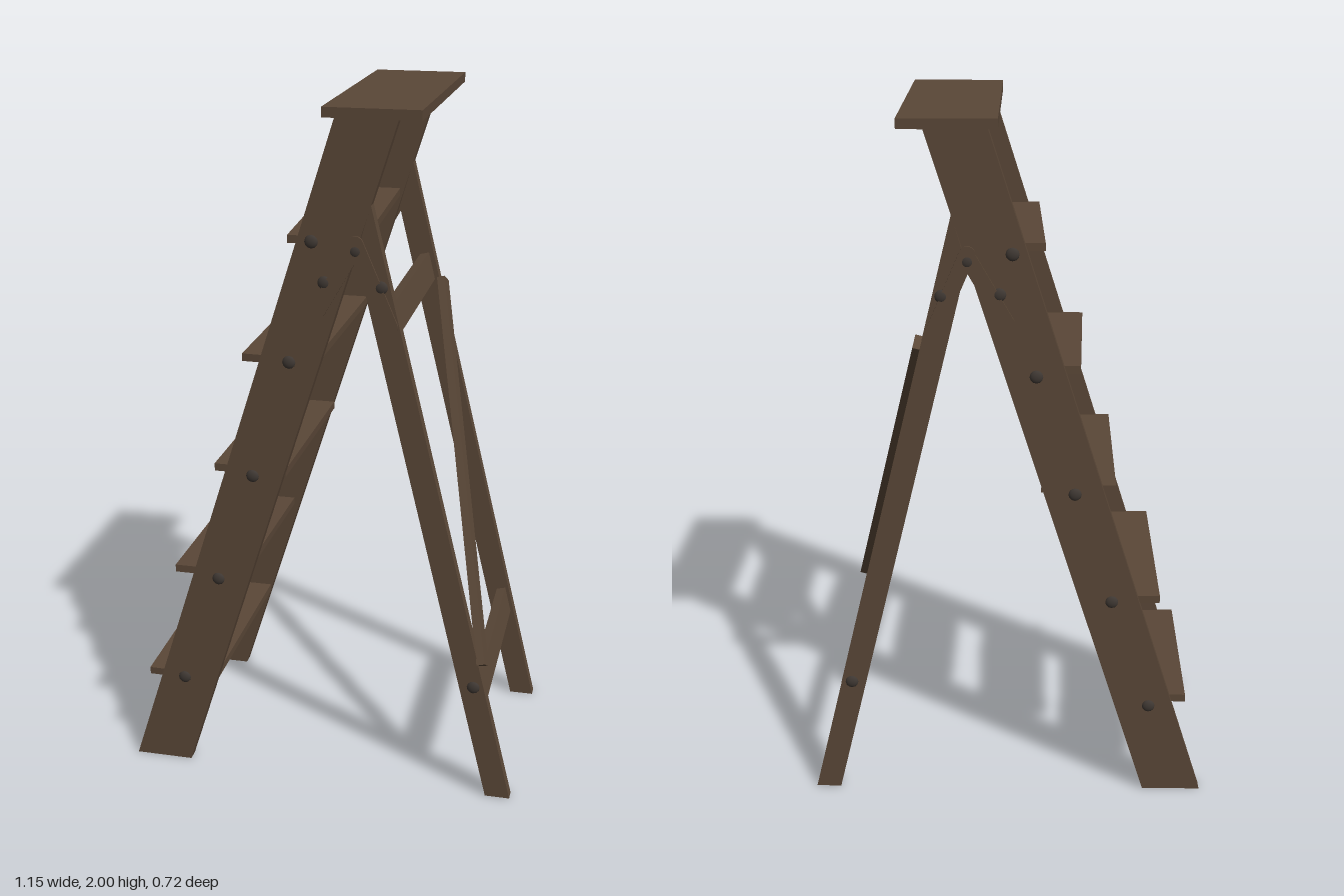
import * as THREE from 'three';

export function createModel() {
  const wood = new THREE.MeshStandardMaterial({ color: 0x5a4737 });
  wood.name = 'darkWood';
  const iron = new THREE.MeshStandardMaterial({ color: 0x3f3833 });
  iron.name = 'darkIron';
  const model = new THREE.Group();
  model.name = 'stepladder';

  const add = (name, geometry, material, x = 0, y = 0, z = 0) => {
    const mesh = new THREE.Mesh(geometry, material);
    mesh.name = name;
    mesh.position.set(x, y, z);
    model.add(mesh);
    return mesh;
  };

  // Side outline in x/y, extruded along z and centred on z
  const slab = (name, points, depth, z, material = wood) => {
    const shape = new THREE.Shape(points.map(([x, y]) => new THREE.Vector2(x, y)));
    const geometry = new THREE.ExtrudeGeometry(shape, { depth, bevelEnabled: false });
    return add(name, geometry.translate(0, 0, -depth / 2), material, 0, 0, z);
  };

  // Thin round-ended strap between two points in x/y
  const strap = (name, [ax, ay], [bx, by], radius, z) => {
    const a = Math.atan2(by - ay, bx - ax);
    const shape = new THREE.Shape();
    shape.absarc(bx, by, radius, a - Math.PI / 2, a + Math.PI / 2, false);
    shape.absarc(ax, ay, radius, a + Math.PI / 2, a + Math.PI * 1.5, false);
    const geometry = new THREE.ExtrudeGeometry(shape, { depth: 0.006, bevelEnabled: false, curveSegments: 8 });
    add(name, geometry.translate(0, 0, -0.003), wood, 0, 0, z);
  };

  // Top board
  add('topBoard', new THREE.BoxGeometry(0.262, 0.027, 0.716), wood, 0.153, 1.9865, 0);

  // Bolt heads: shallow domes, on both outer sides
  const bolts = [[-0.015, 1.64], [0.02, 1.53], [0.105, 1.62], [0.175, 1.525], [-0.08, 1.3],
    [-0.19, 0.955], [-0.3, 0.622], [-0.415, 0.283], [0.455, 0.357]];
  const dome = new THREE.SphereGeometry(0.019, 12, 5, 0, Math.PI * 2, 0, Math.PI / 2).scale(1, 0.5, 1);

  for (const side of [1, -1]) {
    const z = side * 0.307;
    // Slanted rail and propping leg, the leg cut to meet the rail
    slab('rail', [[-0.575, 0], [-0.405, 0], [0.219, 1.974], [0.05, 1.974]], 0.034, z);
    slab('rearLeg', [[0.5, 0], [0.572, 0], [0.146, 1.745], [0.107, 1.61]], 0.034, z);

    // Hinge straps
    strap('railHingeStrap', [0.1, 1.625], [0.0, 1.45], 0.022, side * 0.3265);
    strap('legHingeStrap', [0.105, 1.64], [0.2, 1.42], 0.022, side * 0.3265);

    for (const [x, y] of bolts) {
      add('bolt', dome, iron, x, y, side * 0.323).rotation.x = side * Math.PI / 2;
    }
  }

  // Slightly uneven treads: front edge, height, tilt, yaw
  const treads = [[-0.53, 0.283, -0.035, -0.017], [-0.44, 0.622, 0.018, 0], [-0.308, 0.96, 0, -0.008],
    [-0.212, 1.303, -0.03, -0.035], [-0.095, 1.645, -0.025, 0.026]];
  for (const [front, y, tilt, yaw] of treads) {
    const tread = add('tread', new THREE.BoxGeometry(0.21, 0.022, 0.59), wood, front + 0.105, y, 0);
    tread.rotation.set(-tilt, yaw, 0);
  }

  // Cross bars between the rear legs
  const lean = Math.atan2(0.426, 1.745);
  for (const [x, y, tilt] of [[0.466, 0.33, -0.015], [0.195, 1.425, -0.01]]) {
    const bar = add('crossBar', new THREE.BoxGeometry(0.028, 0.084, 0.59), wood, x, y, 0);
    bar.rotation.set(-tilt, 0, lean);
  }

  // Diagonal brace lying on the back of the rear legs
  const start = new THREE.Vector3(0.478, 0.425, 0.312);
  const end = new THREE.Vector3(0.241, 1.39, -0.3);
  const along = end.clone().sub(start);
  const length = along.length();
  along.normalize();
  const outward = new THREE.Vector3(Math.cos(lean), Math.sin(lean), 0);
  const across = new THREE.Vector3().crossVectors(outward, along).normalize();
  outward.crossVectors(along, across);
  const brace = add('diagonalBrace', new THREE.BoxGeometry(0.024, length, 0.05), wood);
  brace.quaternion.setFromRotationMatrix(new THREE.Matrix4().makeBasis(outward, along, across));
  brace.position.copy(start).add(end).multiplyScalar(0.5);

  return model;
}
